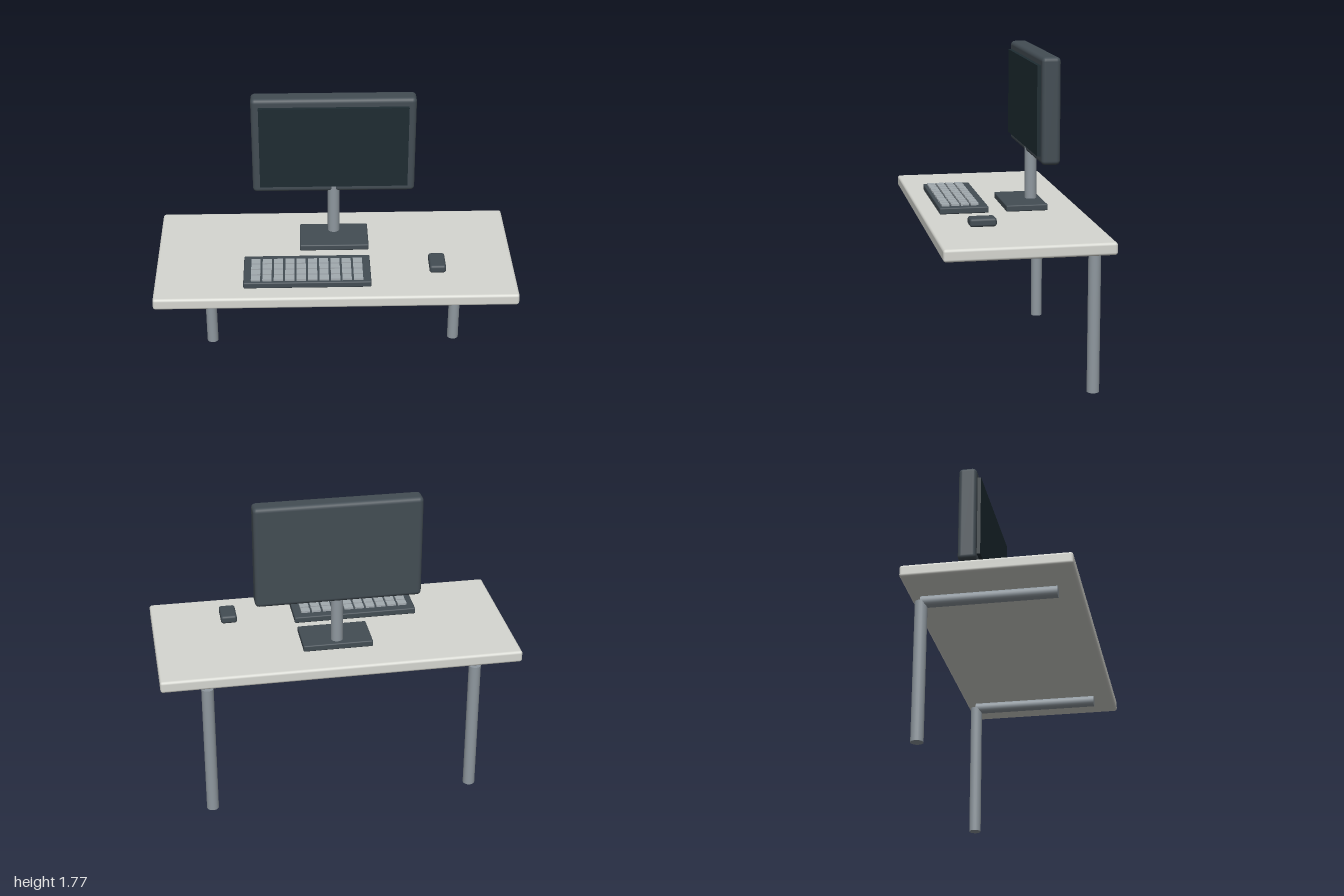
import * as THREE from 'three';
import { RoundedBoxGeometry } from 'three/addons/geometries/RoundedBoxGeometry.js';

const material = (color) => new THREE.MeshStandardMaterial({ color });

export function createModel() {
  const model = new THREE.Group();
  model.name = 'computerDesk';

  const top = material(0xd6d7d1);
  const metal = material(0x8f989f);
  const dark = material(0x434d54);
  const glass = material(0x1e2c32);
  const keyGrey = material(0xa3abb0);

  const add = (name, geometry, mat, x, y, z, parent = model) => {
    const mesh = new THREE.Mesh(geometry, mat);
    mesh.name = name;
    mesh.position.set(x, y, z);
    parent.add(mesh);
    return mesh;
  };
  const rounded = (w, h, d, r) => new RoundedBoxGeometry(w, h, d, 3, r);
  const tube = (r, length) => new THREE.CylinderGeometry(r, r, length, 20);

  // Desk top
  add('deskTop', rounded(2, 0.067, 0.9, 0.015), top, 0, 0.845, 0);

  // Rear legs, each with a support arm running forward under the top
  for (const [side, label] of [[1, 'left'], [-1, 'right']]) {
    const frame = new THREE.Group();
    frame.name = label + 'LegFrame';
    frame.position.x = side * 0.745;
    model.add(frame);
    add(label + 'Leg', tube(0.034, 0.785), metal, 0, 0.3925, -0.39, frame);
    const arm = add(label + 'SupportArm', tube(0.032, 0.726), metal, 0, 0.785, -0.027, frame);
    arm.rotation.x = Math.PI / 2;
  }

  // Monitor
  const monitor = new THREE.Group();
  monitor.name = 'monitor';
  model.add(monitor);
  add('monitorCase', rounded(0.914, 0.582, 0.103, 0.024), dark, 0, 1.475, -0.216, monitor);
  add('screen', new THREE.BoxGeometry(0.83, 0.49, 0.03), glass, 0, 1.475, -0.16, monitor);
  add('standBase', rounded(0.39, 0.036, 0.235, 0.007), dark, 0, 0.899, -0.138, monitor);
  add('standPole', tube(0.034, 0.35), metal, 0, 1.08, -0.196, monitor);

  // Keyboard with four rows of ten keys
  const keyboard = new THREE.Group();
  keyboard.name = 'keyboard';
  keyboard.position.set(-0.157, 0.898, 0.216);
  model.add(keyboard);
  add('keyboardBase', rounded(0.703, 0.036, 0.275, 0.007), dark, 0, 0, 0, keyboard);
  const keyShape = new THREE.BoxGeometry(0.051, 0.018, 0.044);
  for (let row = 0; row < 4; row++) {
    for (let col = 0; col < 10; col++) {
      add('key', keyShape, keyGrey, -0.284 + col * 0.0628, 0.02, -0.066 + row * 0.0545, keyboard);
    }
  }

  // Mouse
  add('mouse', rounded(0.091, 0.046, 0.145, 0.014), dark, 0.567, 0.92, 0.18);

  return model;
}
